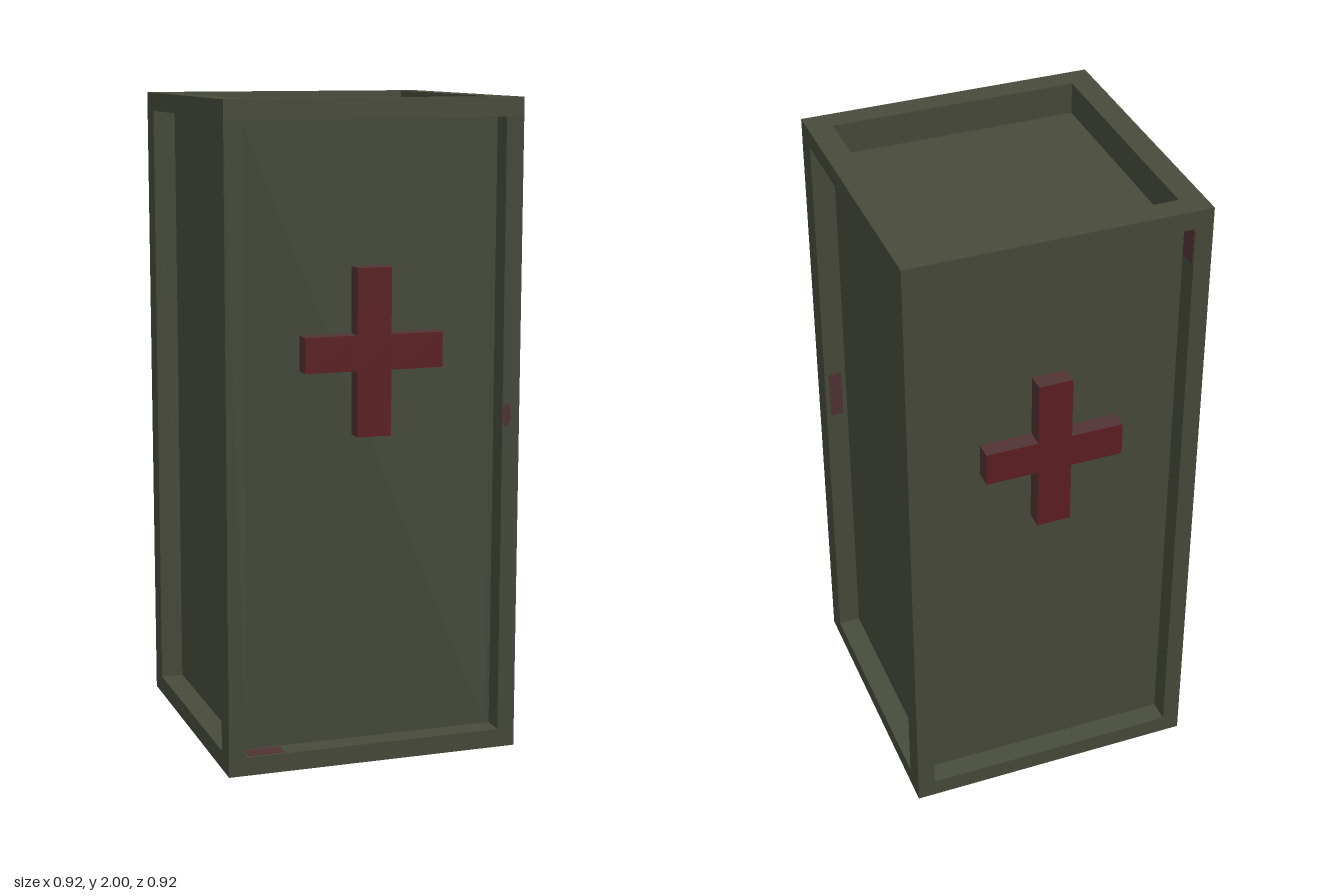
import * as THREE from 'three';

const H = 2, W = 0.46, RIM = 0.057; // height, half width, rim thickness
const PANEL = 0.39, WELL = 0.385;   // panel plane, half width of end recesses

const paint = new THREE.MeshStandardMaterial({ color: 0x484c3c });
paint.name = 'olive paint';
const red = new THREE.MeshStandardMaterial({ color: 0x601f22 });
red.name = 'cross red';
const stain = new THREE.MeshStandardMaterial({ color: 0x523335 });
stain.name = 'faded red';

const shapeOf = (pts) => new THREE.Shape(pts.map(([x, y]) => new THREE.Vector2(x, y)));
const square = (r) => [[-r, -r], [r, -r], [r, r], [-r, r]];

export function createModel() {
  const group = new THREE.Group();
  group.name = 'medicalCrate';

  const add = (name, geometry, material, x = 0, y = 0, z = 0) => {
    const mesh = new THREE.Mesh(geometry, material);
    mesh.name = name;
    mesh.position.set(x, y, z);
    group.add(mesh);
    return mesh;
  };
  // Upright prism between two heights
  const prism = (name, shape, y0, y1) => {
    const g = new THREE.ExtrudeGeometry(shape, { depth: y1 - y0, bevelEnabled: false });
    g.rotateX(-Math.PI / 2);
    return add(name, g, paint, 0, y0, 0);
  };
  const ring = (r) => {
    const s = shapeOf(square(r));
    s.holes.push(shapeOf(square(WELL)));
    return s;
  };

  // Recessed wall panels, end rims and sunken end panels
  prism('wallPanels', ring(PANEL), RIM, H - RIM);
  prism('bottomRim', ring(W), 0, RIM);
  prism('topRim', ring(W), H - RIM, H);
  add('endPanels', new THREE.BoxGeometry(WELL * 2, H - 0.2, WELL * 2), paint, 0, H / 2, 0);

  // Corner posts with a small lip meeting the panels
  const post = [[PANEL, 0.38], [W, 0.38], [W, W], [0.405, W], [0.405, PANEL], [PANEL, PANEL]];
  for (const sx of [-1, 1]) for (const sz of [-1, 1]) {
    prism('cornerPost', shapeOf(post.map(([x, z]) => [x * sx, z * sz])), RIM, H - RIM);
  }

  // Raised crosses on the front and back
  const a = 0.053, x = 0.215, v = 0.252;
  const cross = shapeOf([[-a, -v], [a, -v], [a, -a], [x, -a], [x, a], [a, a],
    [a, v], [-a, v], [-a, a], [-x, a], [-x, -a], [-a, -a]]);
  const crossGeo = new THREE.ExtrudeGeometry(cross, { depth: 0.055, bevelEnabled: false });
  add('frontCross', crossGeo, [red, stain], 0, 1.258, PANEL);
  add('backCross', crossGeo, [red, stain], 0, 1.258, -PANEL).rotation.y = Math.PI;

  // Thin faded patches: centre, then size
  const t = 0.004;
  const patches = [
    [-0.25, 1.94, -WELL, 0.11, 0.06, t],
    [-0.34, RIM, 0.425, 0.11, t, 0.05],
    [0.425, 0.12, -0.38, 0.05, 0.11, t],
    [0.425, 1.04, 0.38, 0.04, 0.16, t],
    [0.405, 1.85, -0.425, t, 0.16, 0.04],
    [-0.405, 1.88, -0.425, t, 0.11, 0.06],
    [0, H - RIM, -0.425, 0.7, t, 0.05],
    [0.425, H - RIM, -0.22, 0.05, t, 0.22],
  ];
  for (const [px, py, pz, sx, sy, sz] of patches) {
    add('fadedPatch', new THREE.BoxGeometry(sx, sy, sz), stain, px, py, pz);
  }
  add('fadedSpot', new THREE.CircleGeometry(0.035, 12), stain, 0.418, 1.05, W + 0.001).scale.x = 0.45;

  return group;
}
